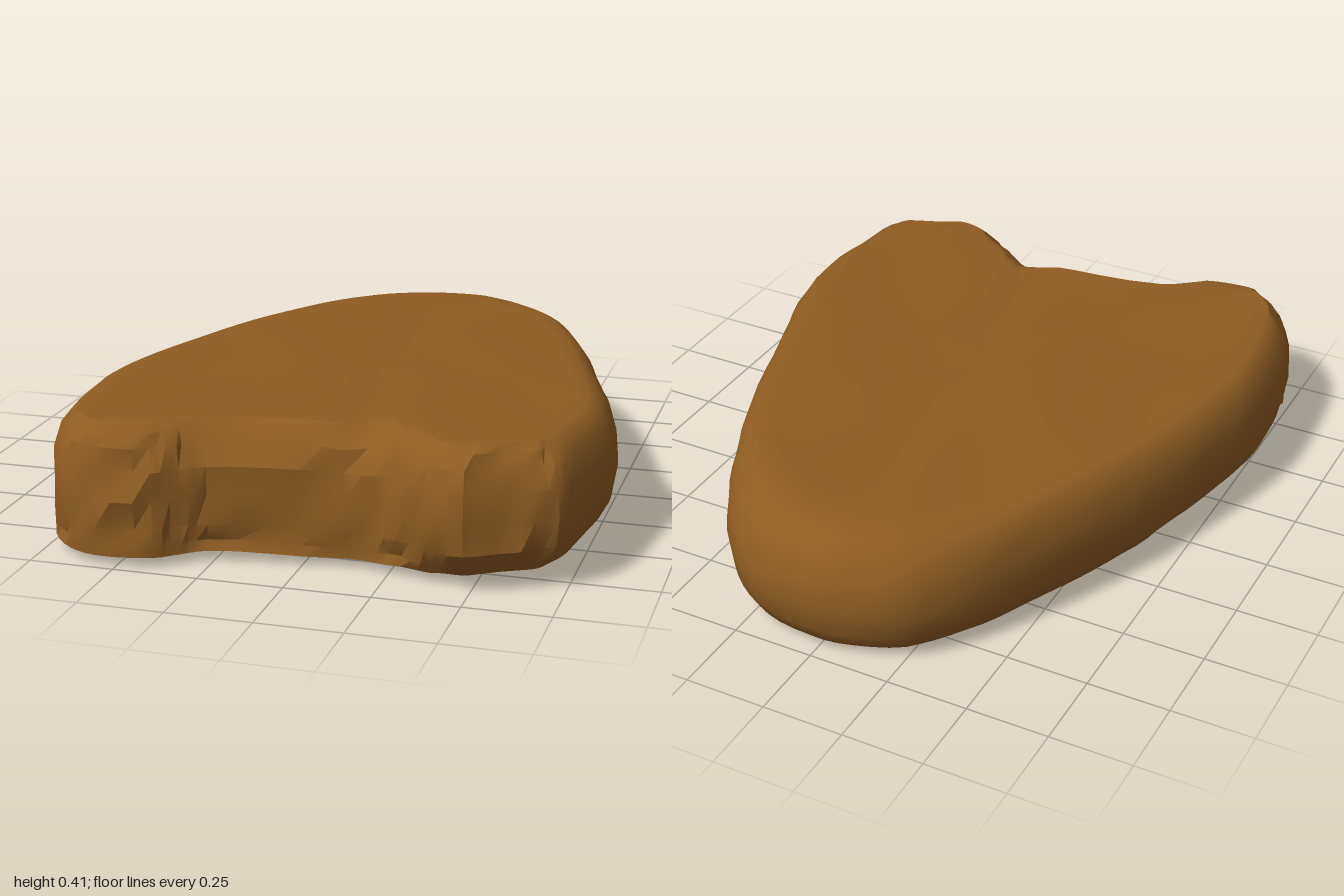
import * as THREE from 'three';
import { toCreasedNormals } from 'three/addons/utils/BufferGeometryUtils.js';

// Outline at the widest level (x, z), from the rounded back round the left side
const OUTLINE = [
  [0.03, -1], [0.2, -0.97], [0.33, -0.88], [0.43, -0.75], [0.52, -0.57], [0.6, -0.38],
  [0.68, -0.13], [0.74, 0.07], [0.79, 0.25], [0.81, 0.42], [0.79, 0.6], [0.76, 0.78],
  [0.71, 0.85], [0.6, 0.9], [0.49, 0.95], [0.36, 0.93], [0.27, 0.86], [0.17, 0.83],
  [0, 0.845], [-0.26, 0.88], [-0.32, 0.92], [-0.39, 0.97], [-0.56, 0.99], [-0.66, 0.95],
  [-0.75, 0.85], [-0.79, 0.7], [-0.81, 0.5], [-0.81, 0.35], [-0.77, 0.15], [-0.71, -0.07],
  [-0.66, -0.22], [-0.58, -0.41], [-0.46, -0.65], [-0.37, -0.8], [-0.27, -0.91], [-0.12, -0.98],
];
// Rounded rim: height fraction, inset at the bottom edge, inset at the top edge
const RIM = [
  [0, 1, 0], [0.08, 0.5, 0], [0.22, 0.15, 0], [0.45, 0, 0],
  [0.68, 0, 0.08], [0.85, 0, 0.3], [0.95, 0, 0.62], [1, 0, 1],
];
const CAP = [0, 0.2, 0.4, 0.6, 0.8, 0.93];
const COUNT = 108;

const smooth = (x, a, b) => THREE.MathUtils.smoothstep(x, a, b);
const bump = (x, centre, width) => Math.exp(-(((x - centre) / width) ** 2));
const rough = (i, j) => {
  const s = Math.sin(i * 12.9898 + j * 78.233) * 43758.5453;
  return s - Math.floor(s) - 0.5;
};

// Slightly tilted top with a shallow central crease, and a belly low at the back
function topY(x, z) {
  const crease = 0.012 * bump(x, 0.05 + 0.1 * z, 0.06) * smooth(z, -0.75, -0.4);
  const dent = 0.01 * bump(x, 0.12, 0.1) * bump(z, -0.48, 0.1)
    + 0.01 * bump(x, -0.45, 0.14) * bump(z, 0.45, 0.2);
  return 0.398 + 0.012 * z + 0.012 * x - crease - dent + 0.003 * Math.sin(9 * x + 2) * Math.sin(8 * z);
}
function bottomY(x, z) {
  return 0.005 + 0.028 * smooth(z, -0.9, 0.2) + 0.025 * Math.max(x, 0) * Math.abs(x)
    + 0.003 * Math.sin(7 * x) * Math.sin(6 * z) * (1 - smooth(-z, 0.5, 0.8));
}

function buildSlab() {
  const curve = new THREE.CatmullRomCurve3(
    OUTLINE.map(([x, z]) => new THREE.Vector3(x, 0, z)), true, 'centripetal');
  const rim = Array.from({ length: COUNT }, (_, i) => {
    const p = curve.getPoint(i / COUNT), t = curve.getTangent(i / COUNT);
    const back = smooth(-p.z, 0.6, 0.95), front = smooth(p.z, 0.75, 0.85);
    const notch = front * bump(p.x, -0.05, 0.35);
    return {
      p, inX: -t.z, inZ: t.x, front,
      low: 0.09 * (1 - 0.85 * front * (1 - smooth(p.x, 0.2, 0.4))),
      high: 0.09 + 0.07 * back + 0.02 * notch + 0.07 * front * bump(p.x, 0.17, 0.04),
    };
  });

  // One row of points of the rounded wall
  const wallRow = ([f, lo, hi], row) => rim.map((r, i) => {
    const chip = (row > 0 && row < 7) ? rough(Math.floor(i / 2), row) : 0;
    const inset = lo * r.low + hi * r.high + Math.abs(chip) * (0.01 + 0.04 * r.front);
    const x = r.p.x + r.inX * inset, z = r.p.z + r.inZ * inset;
    return [x, THREE.MathUtils.lerp(bottomY(x, z), topY(x, z), f), z];
  });
  // A copy of an edge row drawn in towards the middle of a broad face
  const capRow = (edge, s, height) => edge.map(([x0, , z0]) => {
    const x = x0 * s, z = 0.1 + (z0 - 0.1) * s;
    return [x, height(x, z), z];
  });

  const wall = RIM.map(wallRow);
  const rows = [
    ...CAP.map((s) => capRow(wall[0], s, bottomY)),
    ...wall,
    ...[...CAP].reverse().map((s) => capRow(wall[wall.length - 1], s, topY)),
  ];

  // Skin the rows from the middle of the underside to the middle of the top
  const index = [];
  for (let r = 0; r < rows.length - 1; r++) {
    for (let i = 0; i < COUNT; i++) {
      const j = (i + 1) % COUNT;
      const a = r * COUNT + i, b = r * COUNT + j, c = a + COUNT, d = b + COUNT;
      if (r > 0) index.push(a, c, b);
      if (r < rows.length - 2) index.push(b, c, d);
    }
  }
  const geometry = new THREE.BufferGeometry();
  geometry.setAttribute('position', new THREE.Float32BufferAttribute(rows.flat(2), 3));
  geometry.setIndex(index);
  return toCreasedNormals(geometry, THREE.MathUtils.degToRad(32));
}

export function createModel() {
  const group = new THREE.Group();
  group.name = 'stoneSlab';
  const slab = new THREE.Mesh(buildSlab(), new THREE.MeshStandardMaterial({ color: 0x8f5c22 }));
  slab.name = 'slab';
  group.add(slab);
  return group;
}
